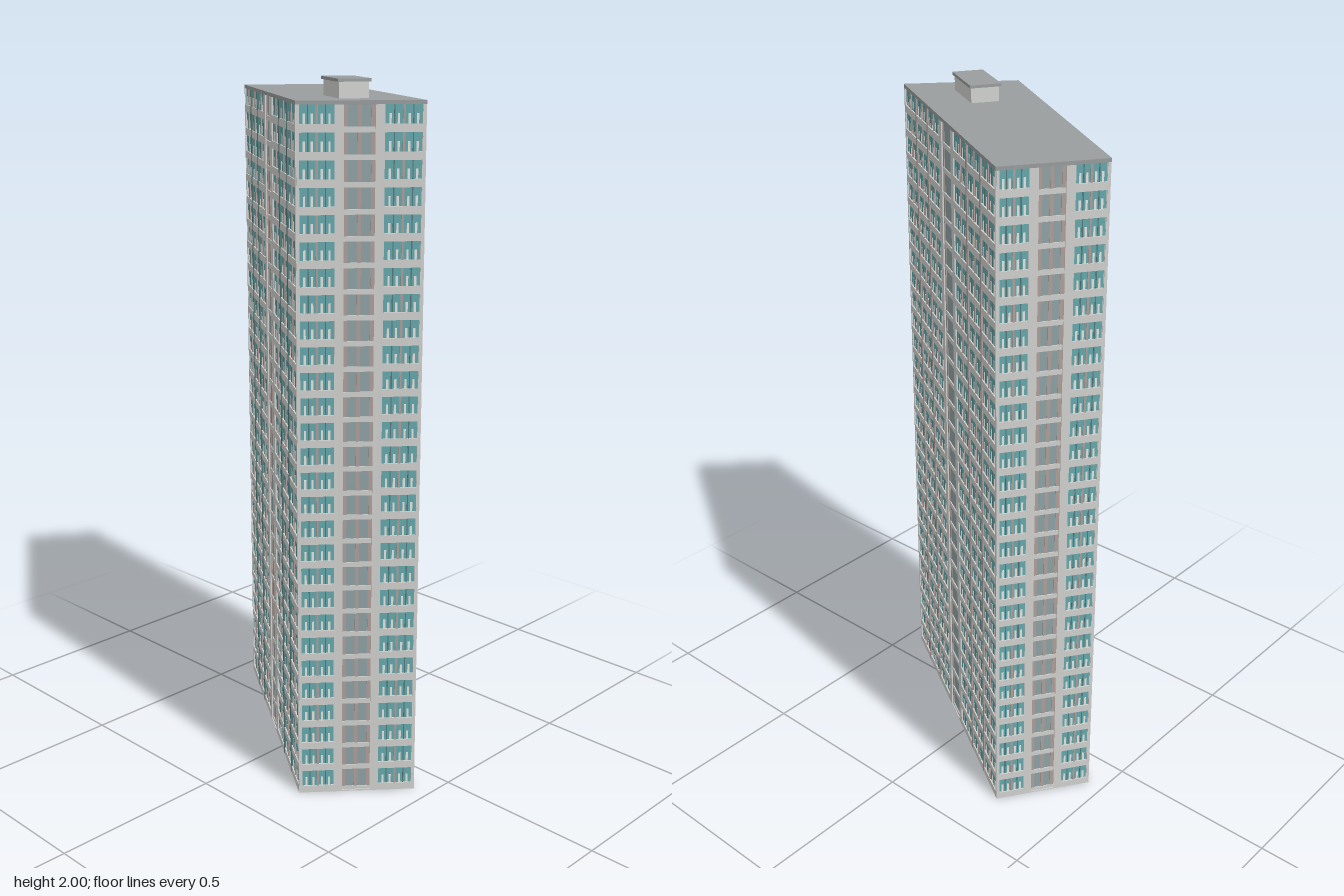
import * as THREE from 'three';
import { mergeGeometries } from 'three/addons/utils/BufferGeometryUtils.js';

const mat = (name, color) => {
  const m = new THREE.MeshStandardMaterial({ color });
  m.name = name;
  return m;
};

// Plan corners (x, z), walking left to right as seen from outside
const CORNERS = [[-0.452, -0.106], [0.23, 0.345], [0.451, 0.095], [-0.288, -0.346]];
const FLOORS = 28, TOP = 1.94, H = TOP / FLOORS, DEPTH = 0.01;

// Horizontal slab cut from the plan, optionally shrunk towards the centre
function planSlab(y0, y1, inset) {
  const shape = new THREE.Shape(CORNERS.map(([x, z], i) => {
    const a = CORNERS[(i + 3) % 4], b = CORNERS[(i + 1) % 4];
    const u = new THREE.Vector2(a[0] - x, a[1] - z).normalize();
    const v = new THREE.Vector2(b[0] - x, b[1] - z).normalize();
    u.add(v).multiplyScalar(inset);
    return new THREE.Vector2(x + u.x, -(z + u.y));
  }));
  const g = new THREE.ExtrudeGeometry(shape, { depth: y1 - y0, bevelEnabled: false });
  return g.rotateX(-Math.PI / 2).translate(0, y0, 0);
}

export function createModel() {
  const group = new THREE.Group();
  const wall = mat('pale concrete', 0xd2d2d0);
  const glass = mat('teal glass', 0x66a9ad);
  const bayGlass = mat('grey glass', 0x8fa3a6);
  const frame = mat('pinkish grey frame', 0xb0a09b);
  const white = mat('white panel', 0xeceeec);
  const dark = mat('dark teal recess', 0x53797a);
  const roofGrey = mat('roof grey', 0x999d9d);

  const add = (parent, geo, m, name) => {
    const mesh = new THREE.Mesh(geo, m);
    mesh.name = name;
    parent.add(mesh);
  };

  add(group, planSlab(0.004, TOP, DEPTH), wall, 'core');
  add(group, planSlab(TOP, 1.95, 0), roofGrey, 'roof');
  add(group, planSlab(0, 0.004, 0), wall, 'base');

  // One facade: window groups either side of a central stair bay
  function facade(i, name, perSide, bay0, bay1, divider, bayPosts) {
    const [x0, z0] = CORNERS[i], [x1, z1] = CORNERS[(i + 1) % 4];
    const L = Math.hypot(x1 - x0, z1 - z0);
    const side = new THREE.Group();
    side.name = name;
    side.position.set(x0, 0, z0);
    side.rotation.y = Math.atan2(-(z1 - z0), x1 - x0);
    group.add(side);

    const parts = { wall: [], glass: [], bayGlass: [], frame: [], white: [], dark: [] };
    // Box between two x and two y limits, standing out from the core
    const box = (key, xa, xb, ya, yb, out) => parts[key].push(
      new THREE.BoxGeometry(xb - xa, yb - ya, out)
        .translate((xa + xb) / 2, (ya + yb) / 2, out / 2 - DEPTH));

    const pier = 0.024, b0 = bay0 * L, b1 = bay1 * L, edge = 0.009;
    // Full-height piers at the corners and beside the bay
    box('wall', 0.002, edge, 0, TOP, DEPTH);
    box('wall', L - edge, L - 0.002, 0, TOP, DEPTH);
    box('wall', b0 - pier, b0, 0, TOP, DEPTH);
    box('wall', b1, b1 + pier, 0, TOP, DEPTH);

    // Bay frame posts
    for (const t of bayPosts) {
      const x = b0 + 0.005 + t * (b1 - b0 - 0.01);
      box('frame', x - 0.005, x + 0.005, 0, TOP, 0.006);
    }

    const zones = [[edge, b0 - pier], [b1 + pier, L - edge]];
    for (const [za, zb] of zones) {
      const w = (zb - za) / perSide;
      // Dividers between the window groups
      for (let k = 1; k < perSide; k++)
        box(divider, za + k * w - 0.005, za + k * w + 0.005, 0, TOP, DEPTH + 0.0005);
      for (let f = 0; f < FLOORS; f++) {
        const y = f * H;
        box('wall', za, zb, y, y + 0.021, DEPTH);
        box('glass', za, zb, y + 0.021, y + H, 0.006);
        for (let k = 0; k < perSide; k++) {
          const x = za + k * w;
          // Middle post, slim mullions and low white panels
          box('frame', x + w / 2 - 0.003, x + w / 2 + 0.003, y + 0.021, y + H, 0.009);
          for (const t of [0.25, 0.75])
            box('dark', x + t * w - 0.0015, x + t * w + 0.0015, y + 0.021, y + H, 0.007);
          for (const t of [0.14, 0.36, 0.64, 0.86])
            box('white', x + t * w - 0.003, x + t * w + 0.003, y + 0.021, y + 0.047, 0.007);
        }
      }
    }
    // Bay panes and floor bands
    for (let f = 0; f < FLOORS; f++) {
      const y = f * H;
      box('bayGlass', b0, b1, y + 0.014, y + H, 0.004);
      box('wall', b0, b1, y, y + 0.014, 0.007);
    }

    const mats = { wall, glass, bayGlass, frame, white, dark };
    const names = { wall: 'parapets and piers', glass: 'windows', bayGlass: 'stair bay glass',
      frame: 'frames', white: 'window panels', dark: 'mullions' };
    for (const key in parts) add(side, mergeGeometries(parts[key]), mats[key], names[key]);
  }
  facade(0, 'frontFacade', 3, 0.45, 0.55, 'dark', [0, 0.5, 1]);
  facade(1, 'leftFacade', 1, 0.37, 0.61, 'frame', [0, 0.5, 1]);
  facade(2, 'backFacade', 3, 0.45, 0.55, 'frame', [0, 1]);
  facade(3, 'rightFacade', 1, 0.37, 0.61, 'frame', [0, 0.5, 1]);

  // Rooftop machine room
  const room = new THREE.Group();
  room.name = 'machineRoom';
  room.position.set(0.203, 1.95, 0.133);
  room.rotation.y = -0.54;
  group.add(room);
  add(room, new THREE.BoxGeometry(0.16, 0.042, 0.08).translate(0, 0.021, 0), wall, 'roomWalls');
  add(room, new THREE.BoxGeometry(0.172, 0.008, 0.09).translate(0, 0.046, 0), roofGrey, 'roomRoof');
  return group;
}
